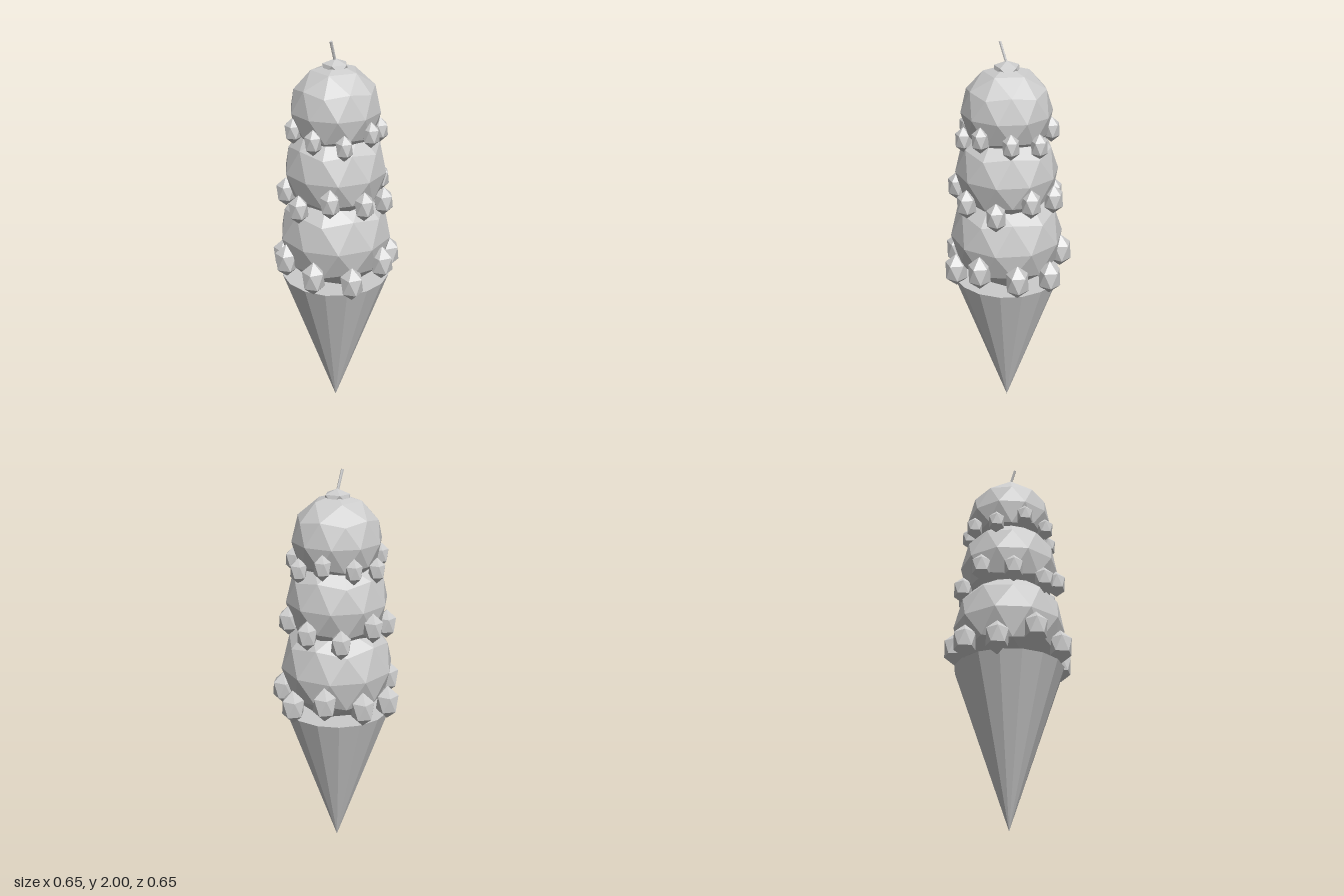
import * as THREE from 'three';

const CENTRE_X = -0.008;

// Icosphere with a vertex at the top and one of the upper ring pointing to +x
function icosphere(detail) {
  const g = new THREE.IcosahedronGeometry(1, detail);
  g.rotateZ(Math.atan2(1, (1 + Math.sqrt(5)) / 2));
  g.rotateY(Math.PI);
  return g;
}

export function createModel() {
  const model = new THREE.Group();
  model.name = 'iceCream';
  const grey = new THREE.MeshStandardMaterial({ color: 0xcccccc, flatShading: true });
  grey.name = 'light grey';

  const add = (name, geometry, parent = model) => {
    const mesh = new THREE.Mesh(geometry, grey);
    mesh.name = name;
    parent.add(mesh);
    return mesh;
  };

  // Wafer cone, point down, closed by a flat top
  add('cone', new THREE.CylinderGeometry(0.278, 0, 0.8, 16)).position.set(CENTRE_X, 0.4, 0);

  // Scoops, each with a ring of nine drips at three alternating heights
  const round = icosphere(1);
  const faceted = icosphere(0);
  const scoops = [
    { name: 'bottom', y: 1.025, r: 0.285, ring: 0.275, drip: 0.063, heights: [0.92, 0.86, 0.885] },
    { name: 'middle', y: 1.37, r: 0.255, ring: 0.246, drip: 0.053, heights: [1.25, 1.28, 1.22] },
    { name: 'top', y: 1.67, r: 0.222, ring: 0.214, drip: 0.045, heights: [1.545, 1.565, 1.585] },
  ];
  scoops.forEach((s, level) => {
    const scoop = add(s.name + 'Scoop', round);
    scoop.position.set(CENTRE_X, s.y, 0);
    scoop.scale.setScalar(s.r);

    const drips = new THREE.Group();
    drips.name = s.name + 'Drips';
    model.add(drips);
    for (let i = 0; i < 9; i++) {
      const a = level * 0.4 + (i * Math.PI * 2) / 9;
      const drip = add('drip', faceted, drips);
      drip.position.set(CENTRE_X + s.ring * Math.cos(a), s.heights[i % 3], s.ring * Math.sin(a));
      drip.scale.set(s.drip, s.drip * 1.42, s.drip);
    }
  });

  // Cherry and its leaning stem
  const cherry = add('cherry', faceted);
  cherry.position.set(CENTRE_X, 1.87, 0);
  cherry.scale.set(0.07, 0.043, 0.07);

  const base = new THREE.Vector3(CENTRE_X, 1.895, 0);
  const tip = new THREE.Vector3(CENTRE_X, 1.998, 0.037);
  const along = tip.clone().sub(base);
  const stem = add('cherryStem', new THREE.CylinderGeometry(0.007, 0.007, along.length(), 6));
  stem.position.copy(base).add(tip).multiplyScalar(0.5);
  stem.quaternion.setFromUnitVectors(new THREE.Vector3(0, 1, 0), along.normalize());

  return model;
}
